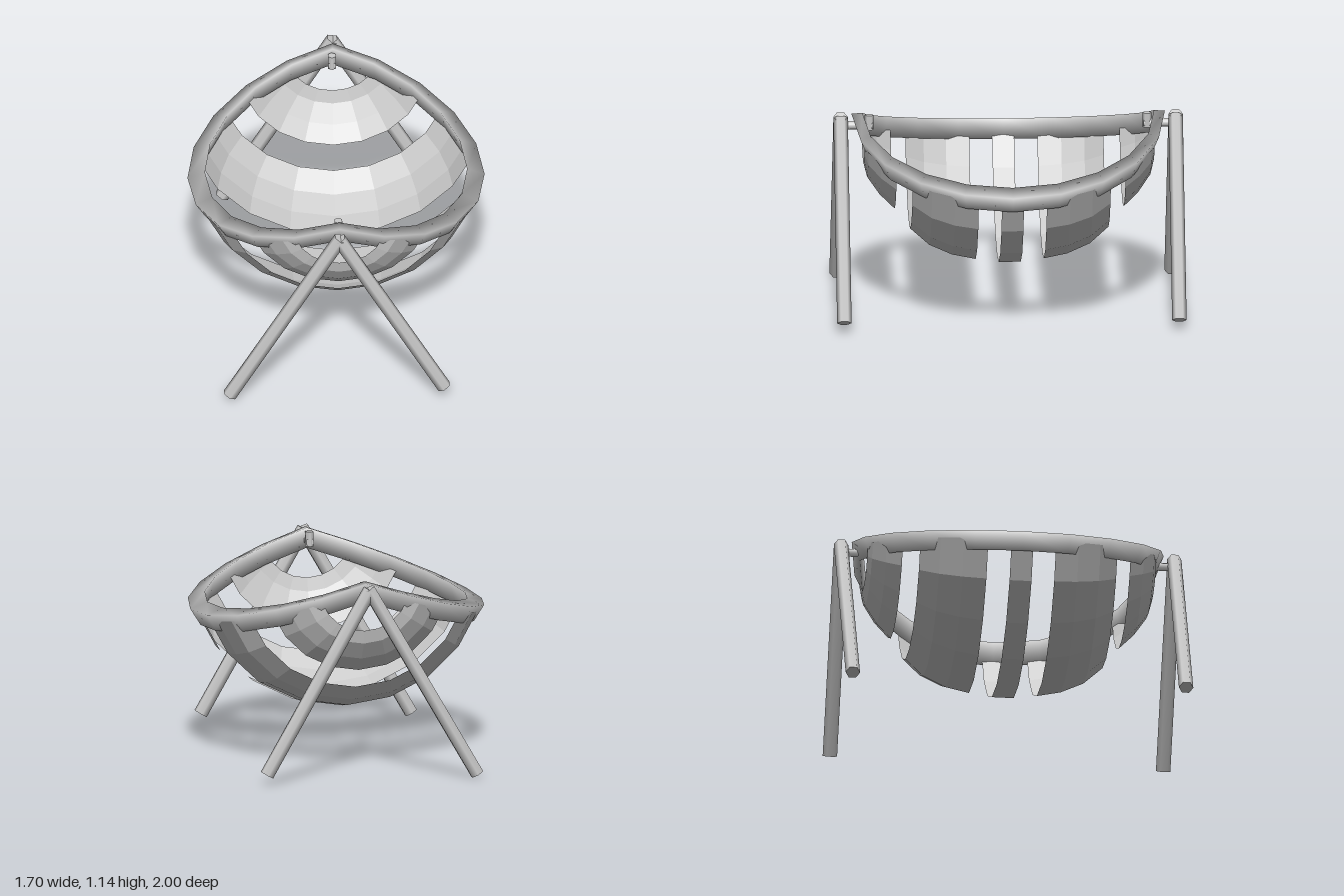
import * as THREE from 'three';

const smooth = new THREE.MeshStandardMaterial({ color: 0xcccccc });
const slatMat = new THREE.MeshStandardMaterial({ color: 0xcccccc, flatShading: true, side: THREE.DoubleSide });

function mesh(name, geometry, material = smooth) {
  const m = new THREE.Mesh(geometry, material);
  m.name = name;
  return m;
}

function gridGeometry(points, index) {
  const g = new THREE.BufferGeometry();
  g.setAttribute('position', new THREE.Float32BufferAttribute(points, 3));
  g.setIndex(index);
  g.computeVertexNormals();
  return g;
}

// Six-sided bar between two points
function bar(name, a, b, radius) {
  const from = new THREE.Vector3(...a), to = new THREE.Vector3(...b);
  const dir = to.clone().sub(from);
  const m = mesh(name, new THREE.CylinderGeometry(radius, radius, dir.length(), 6));
  m.position.copy(from).add(to).multiplyScalar(0.5);
  m.quaternion.setFromUnitVectors(new THREE.Vector3(0, 1, 0), dir.normalize());
  return m;
}

// Oval rim with a three-cornered section, folded down to both sides
function rimGeometry() {
  const section = [ // x radius, z radius, height at the fold
    [0.85, 0.897, 1.135],
    [0.75, 0.835, 1.14],
    [0.79, 0.85, 1.02],
  ];
  const n = 20, k = section.length, points = [], index = [];
  for (let i = 0; i < n; i++) {
    const t = (i / n) * Math.PI * 2;
    for (const [rx, rz, top] of section) {
      const x = rx * Math.sin(t);
      points.push(x, top - 0.33 * Math.abs(x), rz * Math.cos(t));
    }
    for (let j = 0; j < k; j++) {
      const i2 = (i + 1) % n, j2 = (j + 1) % k;
      const a = i * k + j, b = i2 * k + j, c = i * k + j2, d = i2 * k + j2;
      index.push(a, b, c, b, d, c);
    }
  }
  return gridGeometry(points, index);
}

// Curved slat of the bowl; stations are [z, size of the bowl there]
function slatGeometry(stations) {
  const angles = [-70.5, -54, -36, -18, 0, 18, 36, 54, 70.5];
  const points = [], index = [], n = angles.length;
  stations.forEach(([z, f], i) => {
    for (const deg of angles) {
      const t = THREE.MathUtils.degToRad(deg);
      points.push(0.85 * f * Math.sin(t), 1.1 - 0.82 * f * Math.cos(t), z);
    }
    if (i === 0) return;
    for (let j = 0; j < n - 1; j++) {
      const a = (i - 1) * n + j, b = i * n + j;
      index.push(a, a + 1, b, a + 1, b + 1, b);
    }
  });
  return gridGeometry(points, index);
}

export function createModel() {
  const model = new THREE.Group();
  model.name = 'hangingBasketSeat';

  model.add(mesh('rim', rimGeometry()));

  // Bowl slats
  const bowl = new THREE.Group();
  bowl.name = 'bowl';
  bowl.add(mesh('middleSlat', slatGeometry([[-0.063, 1], [0.063, 1]]), slatMat));
  const wide = [[0.195, 0.978], [0.33, 0.945], [0.46, 0.876], [0.567, 0.762]];
  const end = [[0.655, 0.622], [0.74, 0.522], [0.81, 0.4], [0.83, 0.305]];
  for (const s of [1, -1]) {
    const side = s > 0 ? 'front' : 'back';
    const place = ([z, f]) => [z * s, f];
    bowl.add(mesh(side + 'WideSlat', slatGeometry(wide.map(place)), slatMat));
    bowl.add(mesh(side + 'EndSlat', slatGeometry(end.map(place)), slatMat));
  }
  model.add(bowl);

  // Leg frames with a hook that carries the rim
  for (const s of [1, -1]) {
    const frame = new THREE.Group();
    frame.name = s > 0 ? 'frontFrame' : 'backFrame';
    const z = 0.9585 * s;
    frame.add(
      bar('rightLeg', [-0.63, 0.018, z], [0.005, 1.118, z], 0.0415),
      bar('leftLeg', [0.596, 0.057, z], [-0.005, 1.112, z], 0.0415),
      bar('hookArm', [-0.005, 1.065, 0.96 * s], [-0.005, 1.065, 0.775 * s], 0.025),
      bar('hookTip', [-0.005, 1.04, 0.795 * s], [-0.005, 1.125, 0.795 * s], 0.026),
    );
    model.add(frame);
  }
  return model;
}
